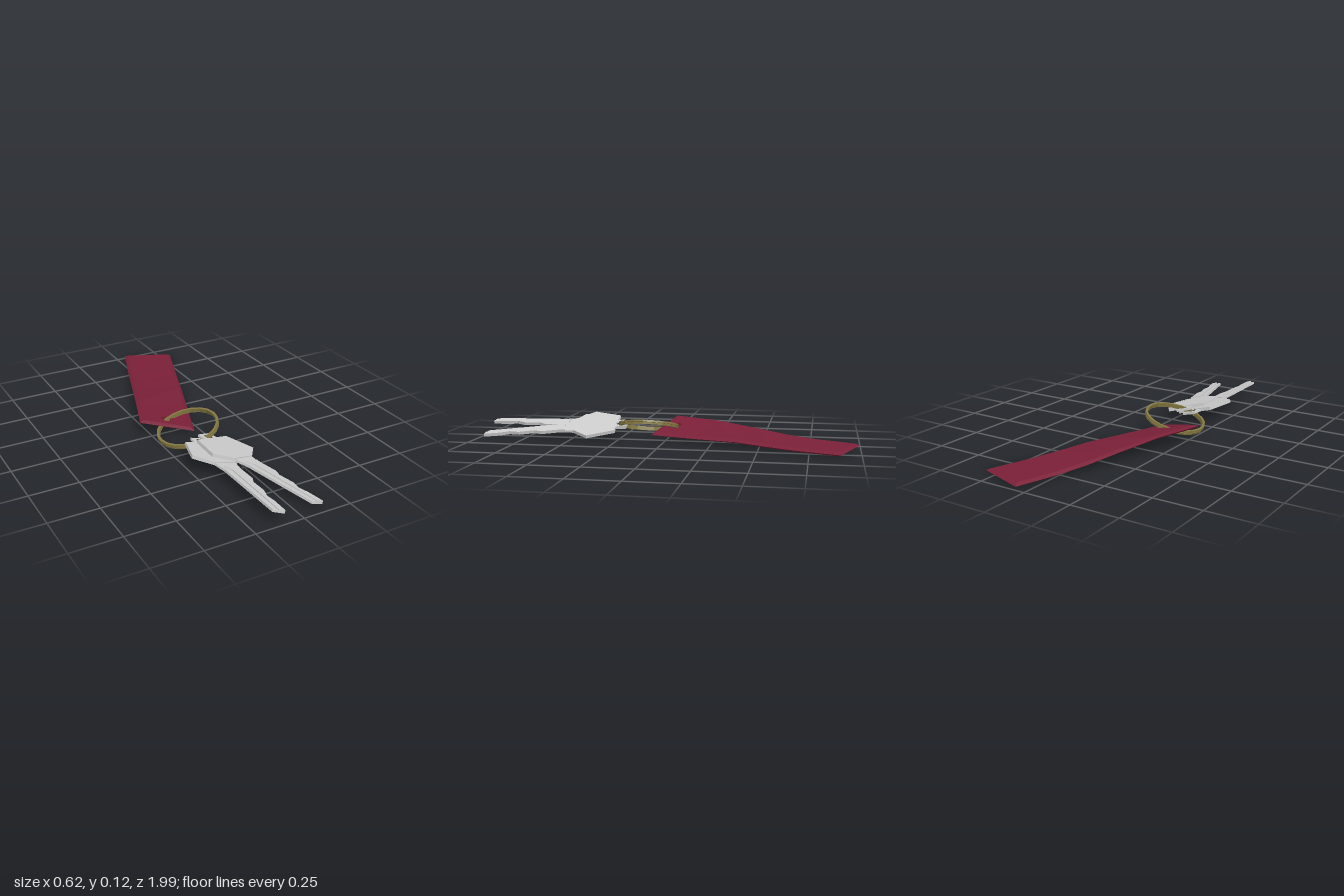
import * as THREE from 'three';

const material = (color) => new THREE.MeshStandardMaterial({ color, flatShading: true });
const steel = material(0xcccccc);
const brass = material(0x827640);
const leather = material(0x7a2038);

function addMesh(parent, name, geometry, mat) {
  const mesh = new THREE.Mesh(geometry, mat);
  mesh.name = name;
  parent.add(mesh);
  return mesh;
}

// ---- Tag: twisted strap with chamfered rim and a round eyelet ----
const tagWidth = 0.14, tagLength = 1.053, tagHalf = 0.01, rim = 0.02;
const knots = [0, 0.26, 0.5, 0.67, 0.83, tagLength];
const leftHeights = [0.089, 0.08, 0.054, 0.033, 0.022, 0.017];
const rightHeights = [0.02, 0.021, 0.025, 0.017, 0.012, 0.011];

function sample(values, s) {
  let i = 0;
  while (i < knots.length - 2 && s > knots[i + 1]) i++;
  return THREE.MathUtils.lerp(values[i], values[i + 1], (s - knots[i]) / (knots[i + 1] - knots[i]));
}

// u runs across the strap, s along it, h through its thickness
function place(u, s, h) {
  const y = THREE.MathUtils.lerp(sample(leftHeights, s), sample(rightHeights, s), (u + tagWidth) / (2 * tagWidth));
  return [-0.18 + 0.342 * s + 0.94 * u, y + h, 0.04 - 0.94 * s + 0.342 * u];
}

function tagGeometry() {
  const positions = [];
  const quad = (a, b, c, d) => [a, b, c, a, c, d].forEach((p) => positions.push(...place(...p)));
  const section = (s, i, h) => [
    [-tagWidth, s, 0], [-tagWidth + i, s, h], [tagWidth - i, s, h],
    [tagWidth, s, 0], [tagWidth - i, s, -h], [-tagWidth + i, s, -h],
  ];
  const holeStart = rim, holeEnd = 0.135, w = tagWidth - rim;
  const stations = [holeStart, holeEnd, ...knots.slice(1, -1), tagLength - rim];
  const rows = [section(0, 0, 0), ...stations.map((s) => section(s, rim, tagHalf)), section(tagLength, 0, 0)];
  for (let j = 0; j < rows.length - 1; j++) {
    for (let k = 0; k < 6; k++) {
      if (j === 1 && k % 3 === 1) continue; // replaced by the pierced panels
      const n = (k + 1) % 6;
      quad(rows[j][k], rows[j][n], rows[j + 1][n], rows[j + 1][k]);
    }
  }
  // pierced panels above and below
  const panel = new THREE.Shape([[-w, holeStart], [w, holeStart], [w, holeEnd], [-w, holeEnd]].map((p) => new THREE.Vector2(...p)));
  const hole = Array.from({ length: 10 }, (_, i) => {
    const a = (i / 10) * Math.PI * 2;
    return new THREE.Vector2(0.026 * Math.cos(a), 0.077 + 0.026 * Math.sin(a));
  });
  panel.holes.push(new THREE.Path(hole));
  const flat = new THREE.ShapeGeometry(panel).toNonIndexed().attributes.position;
  for (const side of [1, -1]) {
    for (let i = 0; i < flat.count; i += 3) {
      for (const k of side > 0 ? [0, 1, 2] : [0, 2, 1]) {
        positions.push(...place(flat.getX(i + k), flat.getY(i + k), side * tagHalf));
      }
    }
  }
  // eyelet wall
  hole.forEach((p, i) => {
    const q = hole[(i + 1) % hole.length];
    quad([q.x, q.y, -tagHalf], [p.x, p.y, -tagHalf], [p.x, p.y, tagHalf], [q.x, q.y, tagHalf]);
  });
  const geometry = new THREE.BufferGeometry();
  geometry.setAttribute('position', new THREE.Float32BufferAttribute(positions, 3));
  geometry.computeVertexNormals();
  return geometry;
}

// ---- Key: points are [across, distance from the head end] ----
const toVectors = (points) => points.map(([r, d]) => new THREE.Vector2(r, -d));
const mirrored = (half) => [...half, ...half.map(([r, d]) => [-r, d]).reverse()];

function slab(points, hole, bottom, thickness) {
  const shape = new THREE.Shape(toVectors(points));
  if (hole) shape.holes.push(new THREE.Path(toVectors(hole)));
  const geometry = new THREE.ExtrudeGeometry(shape, { depth: thickness, bevelEnabled: false });
  return geometry.rotateX(-Math.PI / 2).translate(0, bottom, 0);
}

const bowHalf = [[0.038, 0], [0.044, 0.056], [0.102, 0.06], [0.145, 0.212], [0.06, 0.282]];
const panelHalf = [[0.077, 0.087], [0.11, 0.202], [0.045, 0.255]];
const teeth = [
  [0.042, 0.35], [0.047, 0.45], [0.028, 0.49], [0.034, 0.57], [0.016, 0.62], [0.026, 0.67], [0.026, 0.755],
];
const keyHole = Array.from({ length: 8 }, (_, i) => {
  const a = ((i + 0.5) / 8) * Math.PI * 2;
  return [0.022 * Math.cos(a), 0.036 + 0.022 * Math.sin(a)];
});

function makeKey(name) {
  const key = new THREE.Group();
  key.name = name;
  const leftBow = bowHalf.map(([r, d]) => [-r, d]).reverse();
  const outline = [...bowHalf, ...teeth, [-0.027, 0.735], [-0.043, 0.35], ...leftBow];
  addMesh(key, 'keyBody', slab(outline, keyHole, 0, 0.012), steel);
  // raised border around the sunken bow panel
  addMesh(key, 'bowRim', slab(mirrored(bowHalf.slice(2)), mirrored(panelHalf), 0.012, 0.005), steel);
  // thicker toothed half, leaving a milled ledge beside it
  const ridge = [[-0.035, 0.325], [0.047, 0.325], ...teeth, [-0.003, 0.745], [-0.01, 0.365]];
  addMesh(key, 'toothedRidge', slab(ridge, null, 0.012, 0.005), steel);
  return key;
}

export function createModel() {
  const model = new THREE.Group();
  model.name = 'keyring';

  const tag = addMesh(model, 'tag', tagGeometry(), leather);
  tag.material.side = THREE.DoubleSide;

  // split ring with a groove around its outside
  const profile = [
    [0.149, -0.011], [0.162, -0.011], [0.163, -0.001], [0.159, 0],
    [0.163, 0.001], [0.162, 0.011], [0.149, 0.011], [0.149, -0.011],
  ].map((p) => new THREE.Vector2(...p));
  const ring = addMesh(model, 'splitRing', new THREE.LatheGeometry(profile, 20), brass);
  ring.position.set(-0.1, 0.063, 0.11);
  ring.rotation.z = 0.27;

  // two keys, both leaning down towards +x
  const keys = [
    ['lowerKey', -0.116, 0.054, 0.233, -0.01],
    ['upperKey', -0.08, 0.068, 0.233, 0.25],
  ];
  for (const [name, x, y, z, turn] of keys) {
    const key = makeKey(name);
    key.position.set(x, y, z);
    key.rotation.set(0, turn, -0.264, 'ZYX');
    model.add(key);
  }
  return model;
}
